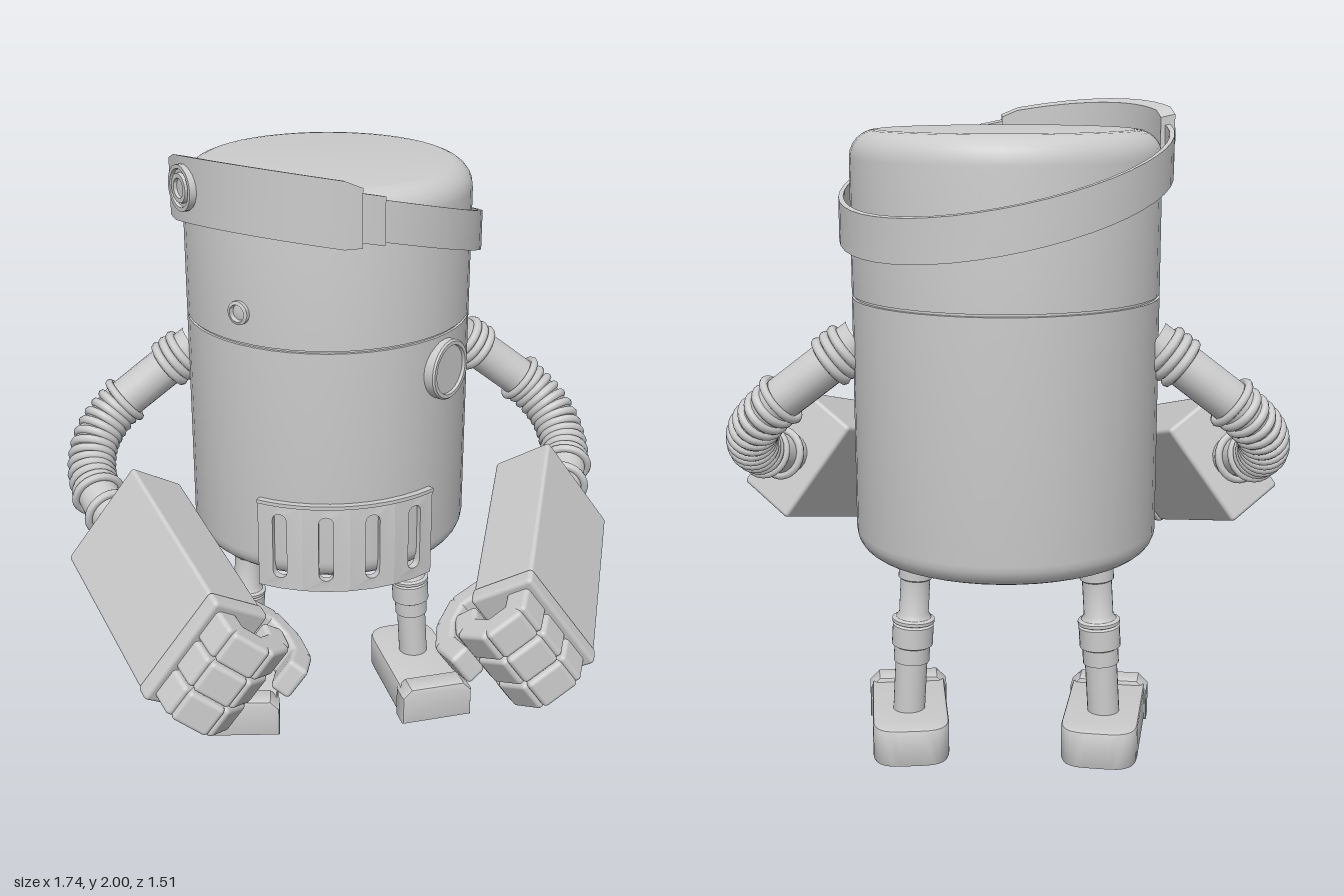
import * as THREE from 'three';
import { toCreasedNormals } from 'three/addons/utils/BufferGeometryUtils.js';
import { RoundedBoxGeometry } from 'three/addons/geometries/RoundedBoxGeometry.js';

const V = (x, y, z) => new THREE.Vector3(x, y, z);
const material = new THREE.MeshStandardMaterial({ color: 0xcccccc });
const BODY_R = 0.455, BODY_Z = -0.295;

function add(parent, name, geometry, x = 0, y = 0, z = 0) {
  const mesh = new THREE.Mesh(geometry, material);
  mesh.name = name;
  mesh.position.set(x, y, z);
  parent.add(mesh);
  return mesh;
}

function lathe(points, sides = 32) {
  return toCreasedNormals(new THREE.LatheGeometry(points.map(([r, y]) => new THREE.Vector2(r, y)), sides), 0.6);
}

// Wraps a flat geometry round the body: x is the angle from the front, z the radius
function wrap(geometry, lift = () => 0) {
  const p = geometry.attributes.position;
  for (let i = 0; i < p.count; i++) {
    const a = p.getX(i), r = p.getZ(i);
    const x = r * Math.sin(a), z = r * Math.cos(a);
    p.setXYZ(i, x, p.getY(i) + lift(x, z), z);
  }
  return toCreasedNormals(geometry, 0.6);
}

function arcBlock(r0, r1, height, a0, a1, segments, lift, taper = 1) {
  const g = new THREE.BoxGeometry(a1 - a0, height, r1 - r0, segments, 1, 1);
  g.translate((a0 + a1) / 2, 0, (r0 + r1) / 2);
  const p = g.attributes.position;
  for (let i = 0; i < p.count; i++) {
    if (p.getX(i) < a0 + 1e-4 || p.getX(i) > a1 - 1e-4) p.setY(i, p.getY(i) * taper);
  }
  return wrap(g, lift);
}

// Disc, ring or other round fitting that faces outward from the body wall
function fitting(parent, name, profile, angle, radius, y) {
  const m = add(parent, name, lathe(profile, 24).rotateX(Math.PI / 2),
    radius * Math.sin(angle), y, radius * Math.cos(angle));
  m.rotation.y = angle;
}

function makeBody() {
  const g = new THREE.Group();
  g.name = 'body';
  g.position.z = BODY_Z;

  // Barrel with rounded rims and a fine seam
  const profile = [[0, 0.665]];
  const rim = (y, r, from, to) => {
    for (let i = 0; i <= 6; i++) {
      const a = from + (to - from) * i / 6;
      profile.push([BODY_R - r + r * Math.cos(a), y + r * Math.sin(a)]);
    }
  };
  rim(0.735, 0.07, -Math.PI / 2, 0);
  profile.push([BODY_R, 1.437], [BODY_R - 0.007, 1.438], [BODY_R - 0.007, 1.444], [BODY_R, 1.445]);
  rim(1.84, 0.08, 0, Math.PI / 2);
  profile.push([0, 1.92]);
  add(g, 'barrel', lathe(profile, 48));

  // Front grille: four wrapped cells, each with an upright slot
  const cell = 0.318, half = cell / 2, sw = 0.05;
  for (let i = 0; i < 4; i++) {
    const s = new THREE.Shape();
    s.moveTo(-half, 0.64).lineTo(0, 0.64).lineTo(half, 0.64);
    s.lineTo(half, 0.94).lineTo(0, 0.94).lineTo(-half, 0.94).closePath();
    const slot = new THREE.Path();
    for (let k = 0; k <= 13; k++) {
      const a = (k < 7 ? k : k - 1) * Math.PI / 6;
      slot[k ? 'lineTo' : 'moveTo'](sw * Math.cos(a), (k < 7 ? 0.88 : 0.70) + 0.022 * Math.sin(a));
    }
    s.holes.push(slot);
    const geo = new THREE.ExtrudeGeometry(s, { depth: 0.025, bevelEnabled: false });
    geo.translate((i - 1.5) * cell, 0, 0.446);
    add(g, 'grille', wrap(geo));
  }
  add(g, 'grilleTopLip', arcBlock(0.45, 0.476, 0.012, -2 * cell, 2 * cell, 16, () => 0.936));

  // Tilted headband with visor plate, buckle and round badge
  const lift = (x, z) => 1.765 - 0.18 * x + 0.2 * z;
  add(g, 'headband', arcBlock(0.474, 0.488, 0.125, -Math.PI, Math.PI, 48, lift));
  add(g, 'visor', arcBlock(0.46, 0.503, 0.2, -1.4, 0.06, 14, lift, 0.88));
  add(g, 'buckle', arcBlock(0.468, 0.498, 0.145, 0.06, 0.2, 3, lift));
  fitting(g, 'visorDisc', [[0, 0.012], [0.028, 0.012], [0.03, 0.022], [0.044, 0.022], [0.046, 0.01], [0.056, 0.01],
    [0.058, 0.02], [0.07, 0.02], [0.07, -0.02]].reverse(), -1.15, 0.5, 1.895);

  // Eye and round side port
  fitting(g, 'eye', [[0.037, -0.02], [0.037, 0.008], [0.027, 0.012], [0.024, -0.002], [0, 0.004]], -0.765, 0.457, 1.54);
  fitting(g, 'sidePort', [[0.097, -0.05], [0.097, 0.02], [0.092, 0.026], [0.08, 0.026], [0.078, 0.016], [0, 0.016]],
    0.777, 0.455, 1.325);
  return g;
}

// Box segments joined end to end along (y, z) points of a curled finger
function finger(parent, name, x, width, thickness, points) {
  for (let i = 0; i + 1 < points.length; i++) {
    const [y0, z0] = points[i], [y1, z1] = points[i + 1];
    const len = Math.hypot(y1 - y0, z1 - z0) + 0.025;
    const m = add(parent, name, new RoundedBoxGeometry(width, thickness, len, 2, 0.014),
      x, (y0 + y1) / 2, (z0 + z1) / 2);
    m.rotation.x = -Math.atan2(y1 - y0, z1 - z0);
  }
}

function makeArm() {
  const g = new THREE.Group();
  g.name = 'arm';

  // Hose with ribs and collars
  const path = new THREE.CatmullRomCurve3([V(0.43, 1.31, -0.355), V(0.6, 1.18, -0.36), V(0.7, 1.1, -0.35),
    V(0.77, 1.02, -0.29), V(0.79, 0.945, -0.2), V(0.77, 0.9, -0.1), V(0.715, 0.863, 0.03)]);
  add(g, 'hose', new THREE.TubeGeometry(path, 40, 0.066, 20));
  const ring = (name, u, r, t) => {
    const m = add(g, name, new THREE.TorusGeometry(r, t, 8, 24));
    m.position.copy(path.getPointAt(u));
    m.quaternion.setFromUnitVectors(V(0, 0, 1), path.getTangentAt(u));
  };
  for (const u of [0.06, 0.095, 0.13]) ring('shoulderRib', u, 0.07, 0.015);
  for (let i = 0; i < 11; i++) ring('elbowRib', 0.4 + i * 0.038, 0.064, 0.015);
  for (const u of [0.36, 0.815, 0.93]) ring('collar', u, 0.074, 0.013);

  // Forearm frame: x runs across the knuckles, y to the back of the hand, z forward
  const hand = new THREE.Group();
  hand.name = 'forearm';
  const zAxis = V(-0.327, -0.264, 0.907).normalize();
  const yAxis = zAxis.clone().cross(V(0.59, -0.81, -0.05)).normalize();
  const xAxis = yAxis.clone().cross(zAxis);
  hand.quaternion.setFromRotationMatrix(new THREE.Matrix4().makeBasis(xAxis, yAxis, zAxis));
  hand.position.set(0.695, 0.863, 0.01);
  g.add(hand);
  add(hand, 'forearmBox', new RoundedBoxGeometry(0.37, 0.2, 0.6, 2, 0.012), 0, 0, 0.3);
  add(hand, 'cuff', new RoundedBoxGeometry(0.378, 0.208, 0.055, 2, 0.014), 0, 0, 0.622);
  for (const x of [-0.112, 0, 0.112]) {
    finger(hand, 'finger', x, 0.106, 0.075, [[0.045, 0.63], [0.04, 0.715], [-0.045, 0.76], [-0.125, 0.72], [-0.135, 0.66]]);
  }
  finger(hand, 'thumb', -0.12, 0.105, 0.065, [[-0.08, 0.56], [-0.17, 0.6], [-0.2, 0.68], [-0.19, 0.76], [-0.13, 0.83]]);
  return g;
}

function makeLeg() {
  const g = new THREE.Group();
  g.name = 'leg';

  // Stepped shin, leaning slightly outward
  const shin = add(g, 'shin', lathe([[0, 0], [0.05, 0], [0.05, 0.18], [0.056, 0.18], [0.056, 0.23], [0.064, 0.235],
    [0.064, 0.3], [0.055, 0.305], [0.066, 0.31], [0.066, 0.32], [0.055, 0.325], [0.046, 0.34], [0.046, 0.45],
    [0.053, 0.455], [0.053, 0.55], [0.08, 0.555], [0.08, 0.585], [0, 0.585]], 24), 0.308, 0.1, BODY_Z);
  shin.rotation.z = 0.06;

  // Foot: chamfered sole with a raised toe cap, toes turned out
  const foot = new THREE.Group();
  foot.name = 'foot';
  foot.position.set(0.31, 0, -0.245);
  foot.rotation.y = 0.12;
  g.add(foot);
  const w = 0.108, s = new THREE.Shape();
  s.moveTo(-w, -0.17).lineTo(w, -0.17).lineTo(w, 0.15);
  s.quadraticCurveTo(w, 0.225, w - 0.07, 0.225).lineTo(-w + 0.07, 0.225).quadraticCurveTo(-w, 0.225, -w, 0.15);
  const sole = new THREE.ExtrudeGeometry(s, { depth: 0.1, bevelSize: 0.01, bevelThickness: 0.01, bevelSegments: 2, curveSegments: 6 });
  add(foot, 'sole', toCreasedNormals(sole.rotateX(-Math.PI / 2), 0.6), 0, 0.01, 0);
  const t = new THREE.Shape();
  t.moveTo(-0.115, 0).lineTo(0.115, 0).lineTo(0.115, 0.09).lineTo(0.09, 0.115).lineTo(-0.09, 0.115).lineTo(-0.115, 0.09);
  const toe = new THREE.ExtrudeGeometry(t, { depth: 0.065, bevelSize: 0.01, bevelThickness: 0.01, bevelSegments: 2 });
  add(foot, 'toeCap', toCreasedNormals(toe, 0.6), 0, 0.01, 0.165);
  return g;
}

// Mirrored copy in x with the winding put right
function mirror(source) {
  const out = new THREE.Group();
  out.name = source.name;
  source.updateMatrixWorld(true);
  source.traverse((o) => {
    if (!o.isMesh) return;
    const geo = (o.geometry.index ? o.geometry.toNonIndexed() : o.geometry.clone());
    geo.applyMatrix4(o.matrixWorld).scale(-1, 1, 1);
    for (const attr of Object.values(geo.attributes)) {
      const n = attr.itemSize, a = attr.array;
      for (let i = 0; i < a.length; i += 3 * n) {
        for (let k = 0; k < n; k++) [a[i + n + k], a[i + 2 * n + k]] = [a[i + 2 * n + k], a[i + n + k]];
      }
    }
    add(out, o.name, geo);
  });
  return out;
}

export function createModel() {
  const model = new THREE.Group();
  model.name = 'robot';
  model.add(makeBody());
  for (const limb of [makeArm(), makeLeg()]) {
    const right = mirror(limb);
    limb.name += 'Left';
    right.name += 'Right';
    model.add(limb, right);
  }
  return model;
}
